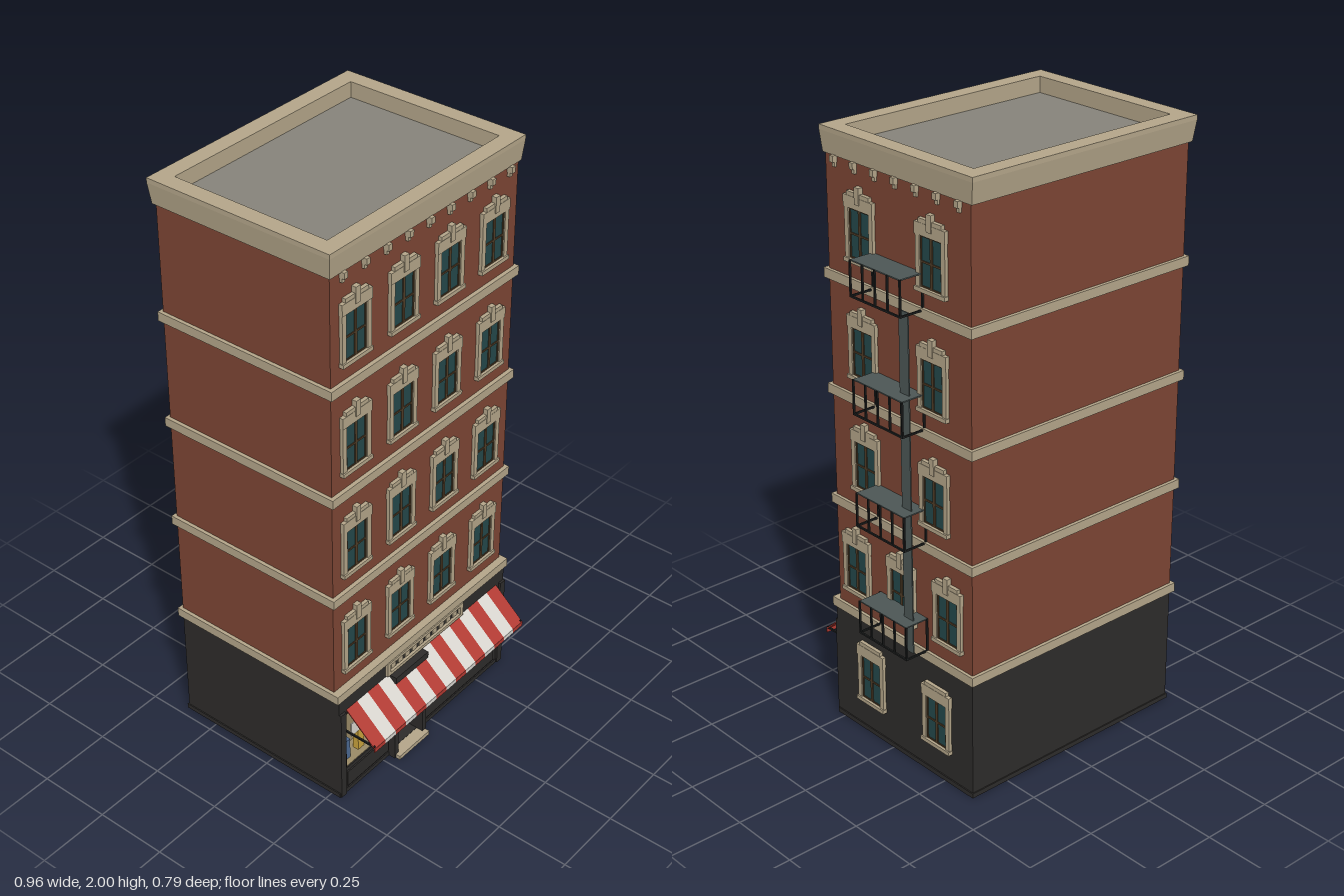
import * as THREE from 'three';

const mat = (color) => new THREE.MeshStandardMaterial({ color, flatShading: true });
const brick = mat(0x7c4534), cream = mat(0xb3a589), dark = mat(0x2d2b2a), iron = mat(0x1c1e1e);
const plate = mat(0x4c5655), glass = mat(0x24484a), wood = mat(0x4f3c26), roofGrey = mat(0x86837a);
const red = mat(0xb23a32), white = mat(0xd8d5cf), tan = mat(0x9a8a66), yellow = mat(0xc9a23c), blue = mat(0x4d6a92);

// Building footprint
const X0 = -0.465, X1 = 0.39, Z0 = -0.375, Z1 = 0.26;
const CX = (X0 + X1) / 2;

function add(parent, name, geo, material) {
  const m = new THREE.Mesh(geo, material);
  m.name = name;
  parent.add(m);
  return m;
}

// Box given by its minimum and maximum on each axis
function box(parent, name, material, x0, x1, y0, y1, z0, z1) {
  const m = add(parent, name, new THREE.BoxGeometry(x1 - x0, y1 - y0, z1 - z0), material);
  m.position.set((x0 + x1) / 2, (y0 + y1) / 2, (z0 + z1) / 2);
  return m;
}

// Panel in the xy plane with rectangular holes, each [x0, x1, y0, y1]
function panel(outer, holes, depth) {
  const trace = (p, [x0, x1, y0, y1]) =>
    p.moveTo(x0, y0).lineTo(x1, y0).lineTo(x1, y1).lineTo(x0, y1).closePath();
  const shape = new THREE.Shape();
  trace(shape, outer);
  for (const h of holes) {
    const path = new THREE.Path();
    trace(path, h);
    shape.holes.push(path);
  }
  return new THREE.ExtrudeGeometry(shape, { depth, bevelEnabled: false });
}

// Skin through a series of rectangles, each [x0, x1, z0, z1, y]
function rectLoft(rings) {
  const pos = [], idx = [];
  for (const [x0, x1, z0, z1, y] of rings) pos.push(x0, y, z1, x1, y, z1, x1, y, z0, x0, y, z0);
  for (let i = 0; i < rings.length - 1; i++) {
    for (let j = 0; j < 4; j++) {
      const a = i * 4 + j, b = i * 4 + (j + 1) % 4;
      idx.push(a, b, b + 4, a, b + 4, a + 4);
    }
  }
  let g = new THREE.BufferGeometry();
  g.setAttribute('position', new THREE.Float32BufferAttribute(pos, 3));
  g.setIndex(idx);
  g = g.toNonIndexed();
  g.computeVertexNormals();
  return g;
}

// Window with stone surround, facing +z, standing on its sill
function makeWindow(keystone = true) {
  const w = new THREE.Group();
  w.name = 'window';
  add(w, 'windowSurround', panel([-0.0635, 0.0635, 0, 0.2], [[-0.046, 0.046, 0.012, 0.168]], 0.011), cream);
  box(w, 'windowSill', cream, -0.066, 0.066, 0, 0.013, 0, 0.016);
  box(w, 'windowHeader', cream, -0.0655, 0.0655, 0.168, 0.205, 0, 0.013);
  box(w, 'windowCap', cream, -0.05, 0.05, 0.205, 0.218, 0, 0.012);
  if (keystone) box(w, 'keystone', cream, -0.01, 0.01, 0.185, 0.238, 0, 0.016);
  box(w, 'windowGlass', glass, -0.046, 0.046, 0.012, 0.168, 0, 0.004);
  add(w, 'windowSash', panel([-0.046, 0.046, 0.012, 0.168],
    [[-0.041, -0.005, 0.017, 0.086], [0.005, 0.041, 0.017, 0.086],
      [-0.041, -0.005, 0.092, 0.163], [0.005, 0.041, 0.092, 0.163]], 0.007), wood);
  return w;
}

// Railed landing hung on the side wall, with its deck across the top
function makeLanding(y) {
  const g = new THREE.Group();
  g.name = 'fireEscapeLanding';
  const t = 0.0028, h = 0.115, za = -0.17, zb = 0.052, xo = 0.475;
  box(g, 'landingDeck', plate, X1, xo, y + h - 0.004, y + h, za, zb);
  box(g, 'outerRail', iron, xo - t, xo + t, y, y + 2 * t, za, zb);
  for (const z of [za, zb]) {
    box(g, 'endRail', iron, X1, xo, y, y + 2 * t, z - t, z + t);
    box(g, 'wallPost', iron, X1, X1 + 2 * t, y, y + h, z - t, z + t);
  }
  for (let i = 0; i < 5; i++) {
    const z = za + (zb - za) * i / 4;
    box(g, 'outerPost', iron, xo - t, xo + t, y, y + h - 0.001, z - t, z + t);
  }
  return g;
}

function makeShopfront() {
  const s = new THREE.Group();
  s.name = 'shopfront';
  const left = [-0.43, -0.225, 0.1, 0.33], right = [-0.055, 0.345, 0.1, 0.33], door = [-0.2, -0.075, 0.015, 0.32];
  const front = add(s, 'shopfrontWall', panel([X0, X1, 0, 0.41], [left, right, door], 0.08), dark);
  front.position.z = 0.2;
  for (const [x0, x1, y0, y1] of [left, right]) {
    box(s, 'displayBack', tan, x0, x1, y0, y1, 0.198, 0.21);
    box(s, 'displayShelf', tan, x0, x1, y0 - 0.003, y0 + 0.002, 0.2, 0.276);
    box(s, 'stallPanel', dark, x0, x1, 0.025, 0.085, 0.27, 0.285);
  }
  // Goods on show: x, height, colour
  const goods = [[-0.4, 0.08, blue], [-0.33, 0.09, yellow], [-0.257, 0.09, yellow], [-0.018, 0.083, blue],
    [0.061, 0.07, white], [0.146, 0.068, blue], [0.225, 0.083, red], [0.307, 0.075, white]];
  for (const [x, h, m] of goods) box(s, 'displayGoods', m, x - 0.015, x + 0.015, 0.1, 0.1 + h, 0.235, 0.257);
  box(s, 'displayCard', white, -0.39, -0.33, 0.198, 0.25, 0.262, 0.266);
  box(s, 'displayCard', yellow, 0.08, 0.135, 0.198, 0.25, 0.262, 0.266);

  // Doorway
  box(s, 'door', dark, -0.2, -0.075, 0.015, 0.32, 0.2, 0.235);
  box(s, 'doorPanel', iron, -0.18, -0.095, 0.12, 0.3, 0.234, 0.238);
  box(s, 'doorHandle', yellow, -0.094, -0.088, 0.14, 0.17, 0.235, 0.246);
  for (const x of [-0.22, -0.075]) box(s, 'doorPillar', dark, x, x + 0.018, 0, 0.335, 0.27, 0.308);
  box(s, 'doorLintel', dark, -0.222, -0.058, 0.328, 0.352, 0.27, 0.312);
  box(s, 'doorStep', cream, -0.215, -0.06, 0, 0.015, 0.22, 0.325);
  for (const x of [X0, X1 - 0.025]) box(s, 'cornerPilaster', dark, x, x + 0.025, 0, 0.35, 0.27, 0.288);

  // Barred transom board over the door
  add(s, 'transomFrame', panel([-0.237, 0.155, 0.355, 0.407], [[-0.222, 0.14, 0.366, 0.396]], 0.012), cream)
    .position.z = 0.278;
  for (let i = 0; i < 10; i++) {
    const x = -0.2 + i * 0.0354;
    box(s, 'transomBlock', cream, x - 0.011, x + 0.011, 0.37, 0.392, 0.278, 0.284);
  }
  return s;
}

function makeAwning() {
  const a = new THREE.Group();
  a.name = 'awning';
  const x0 = -0.43, n = 15, w = 0.78 / n, dz = 0.115, dy = 0.1;
  for (let i = 0; i < n; i++) {
    const m = i % 2 ? white : red, x = x0 + i * w;
    const stripe = add(a, 'awningStripe', new THREE.BoxGeometry(w, 0.004, Math.hypot(dz, dy)), m);
    stripe.position.set(x + w / 2, 0.3, 0.335);
    stripe.rotation.x = Math.atan2(dy, dz);
    box(a, 'awningValance', m, x, x + w, 0.236, 0.252, 0.39, 0.394);
  }
  for (const x of [x0 + 0.004, x0 + 0.776]) box(a, 'awningArm', iron, x - 0.003, x + 0.003, 0.252, 0.258, 0.27, 0.391);
  return a;
}

export function createModel() {
  const model = new THREE.Group();
  model.name = 'cornerBuilding';

  // Walls, plinth and string courses
  box(model, 'groundFloor', dark, X0, X1, 0, 0.41, Z0, 0.2);
  box(model, 'brickWalls', brick, X0, X1, 0.41, 1.925, Z0, Z1);
  box(model, 'plinth', dark, X0 - 0.004, X1 + 0.004, 0, 0.016, Z0 - 0.004, 0.284);
  for (const y of [0.405, 0.78, 1.155, 1.53]) {
    box(model, 'stringCourse', cream, X0 - 0.012, X1 + 0.01, y, y + 0.031, Z0 - 0.011, Z1 + (y < 0.5 ? 0.026 : 0.014));
  }

  // Flared cornice with sunken roof
  add(model, 'cornice', rectLoft([
    [X0, X1, Z0, Z1, 1.918], [-0.473, 0.394, -0.383, 0.268, 1.918], [-0.48, 0.4, -0.392, 0.275, 1.985],
    [-0.48, 0.4, -0.392, 0.275, 2], [-0.425, 0.345, -0.335, 0.22, 2], [-0.425, 0.345, -0.335, 0.22, 1.945],
  ]), cream);
  box(model, 'roof', roofGrey, -0.426, 0.346, 1.92, 1.948, -0.336, 0.221);

  // Cornice brackets on the two street sides
  for (let i = 0; i < 9; i++) {
    const x = X0 + (X1 - X0) * (i + 0.5) / 9;
    box(model, 'corniceBracket', cream, x - 0.008, x + 0.008, 1.9, 1.92, Z1, 0.279);
    box(model, 'bracketFoot', cream, x - 0.006, x + 0.006, 1.885, 1.9, Z1, 0.27);
  }
  for (let i = 0; i < 7; i++) {
    const z = Z0 + (Z1 - Z0) * (i + 0.5) / 7;
    box(model, 'corniceBracket', cream, X1, 0.406, 1.9, 1.92, z - 0.008, z + 0.008);
    box(model, 'bracketFoot', cream, X1, 0.398, 1.885, 1.9, z - 0.006, z + 0.006);
  }

  // Windows: four per floor in front, two or three per floor on the side
  const sideWindow = (z, y, keystone) => {
    const w = makeWindow(keystone);
    w.position.set(X1, y, z);
    w.rotation.y = Math.PI / 2;
    model.add(w);
  };
  for (let f = 0; f < 4; f++) {
    const y = 0.492 + f * 0.3735;
    for (let i = 0; i < 4; i++) {
      const w = makeWindow();
      w.position.set(CX - 0.006 + (i - 1.5) * 0.2125, y, Z1);
      model.add(w);
    }
    for (const z of f === 0 ? [0.16, -0.055, -0.27] : [0.103, -0.214]) sideWindow(z, y, true);
  }
  for (const z of [0.103, -0.214]) sideWindow(z, 0.11, false);

  // Fire escape
  const levels = [0.432, 0.805, 1.177, 1.55];
  levels.forEach((y, i) => {
    model.add(makeLanding(y));
    if (i < 3) box(model, 'fireEscapeLadder', plate, 0.43, 0.434, y, levels[i + 1], -0.153, -0.112);
  });

  model.add(makeShopfront(), makeAwning());
  return model;
}
